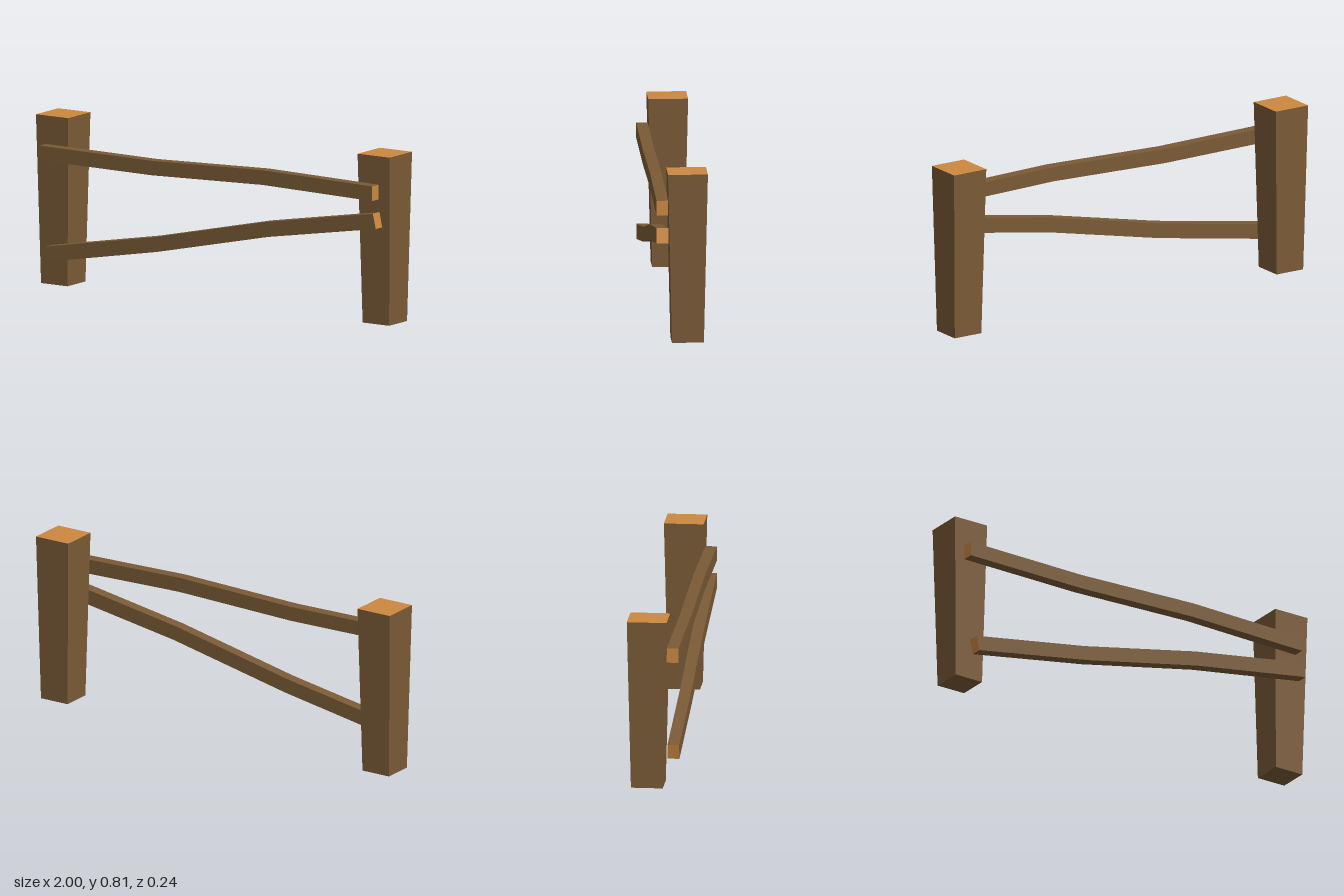
import * as THREE from 'three';

const bark = new THREE.MeshStandardMaterial({ color: 0x7a5a36, flatShading: true });
const cutWood = new THREE.MeshStandardMaterial({ color: 0xcc8840, flatShading: true });

// Lofts four-cornered sections into a closed beam; groups: sides, start cap, end cap
function beam(name, sections, startMaterial, endMaterial) {
  const pos = [];
  const quad = (a, b, c, d) => [a, b, c, a, c, d].forEach((p) => pos.push(...p));
  for (let i = 0; i < sections.length - 1; i++) {
    const s = sections[i], t = sections[i + 1];
    for (let j = 0; j < 4; j++) {
      const k = (j + 1) % 4;
      quad(s[j], s[k], t[k], t[j]);
    }
  }
  const sideCount = pos.length / 3;
  quad(...[...sections[0]].reverse());
  quad(...sections[sections.length - 1]);

  const geometry = new THREE.BufferGeometry();
  geometry.setAttribute('position', new THREE.Float32BufferAttribute(pos, 3));
  geometry.addGroup(0, sideCount, 0);
  geometry.addGroup(sideCount, 6, 1);
  geometry.addGroup(sideCount + 6, 6, 2);
  geometry.computeVertexNormals();
  const mesh = new THREE.Mesh(geometry, [bark, startMaterial, endMaterial]);
  mesh.name = name;
  return mesh;
}

// Square post section at height y
const postSection = (cx, y, halfX, z0, z1) => [
  [cx - halfX, y, z1], [cx + halfX, y, z1], [cx + halfX, y, z0], [cx - halfX, y, z0],
];

// Rail section from its bottom and top points, spanning the rail's depth
const RAIL_BACK = 0.065, RAIL_FRONT = 0.12;
const railSection = ([bx, by, tx, ty]) => [
  [bx, by, RAIL_FRONT], [bx, by, RAIL_BACK], [tx, ty, RAIL_BACK], [tx, ty, RAIL_FRONT],
];

export function createModel() {
  const group = new THREE.Group();
  group.name = 'woodenFence';

  // Posts widen towards the sawn top
  for (const [name, side] of [['leftPost', 1], ['rightPost', -1]]) {
    group.add(beam(name, [
      postSection(side * 0.909, 0, 0.075, -0.1, 0.05),
      postSection(side * 0.909, 0.806, 0.091, -0.118, 0.069),
    ], bark, cutWood));
  }

  // Gently bent rails: bottom x, y and top x, y of each section
  const rails = {
    upperRail: [
      [-0.945, 0.6, -0.945, 0.67], [-0.315, 0.594, -0.315, 0.663],
      [0.315, 0.613, 0.315, 0.683], [0.935, 0.6, 0.935, 0.67],
    ],
    lowerRail: [
      [-0.896, 0.122, -0.912, 0.192], [-0.28, 0.232, -0.298, 0.3],
      [0.345, 0.368, 0.328, 0.437], [0.955, 0.469, 0.939, 0.54],
    ],
  };
  for (const [name, points] of Object.entries(rails)) {
    group.add(beam(name, points.map(railSection), cutWood, cutWood));
  }
  return group;
}
